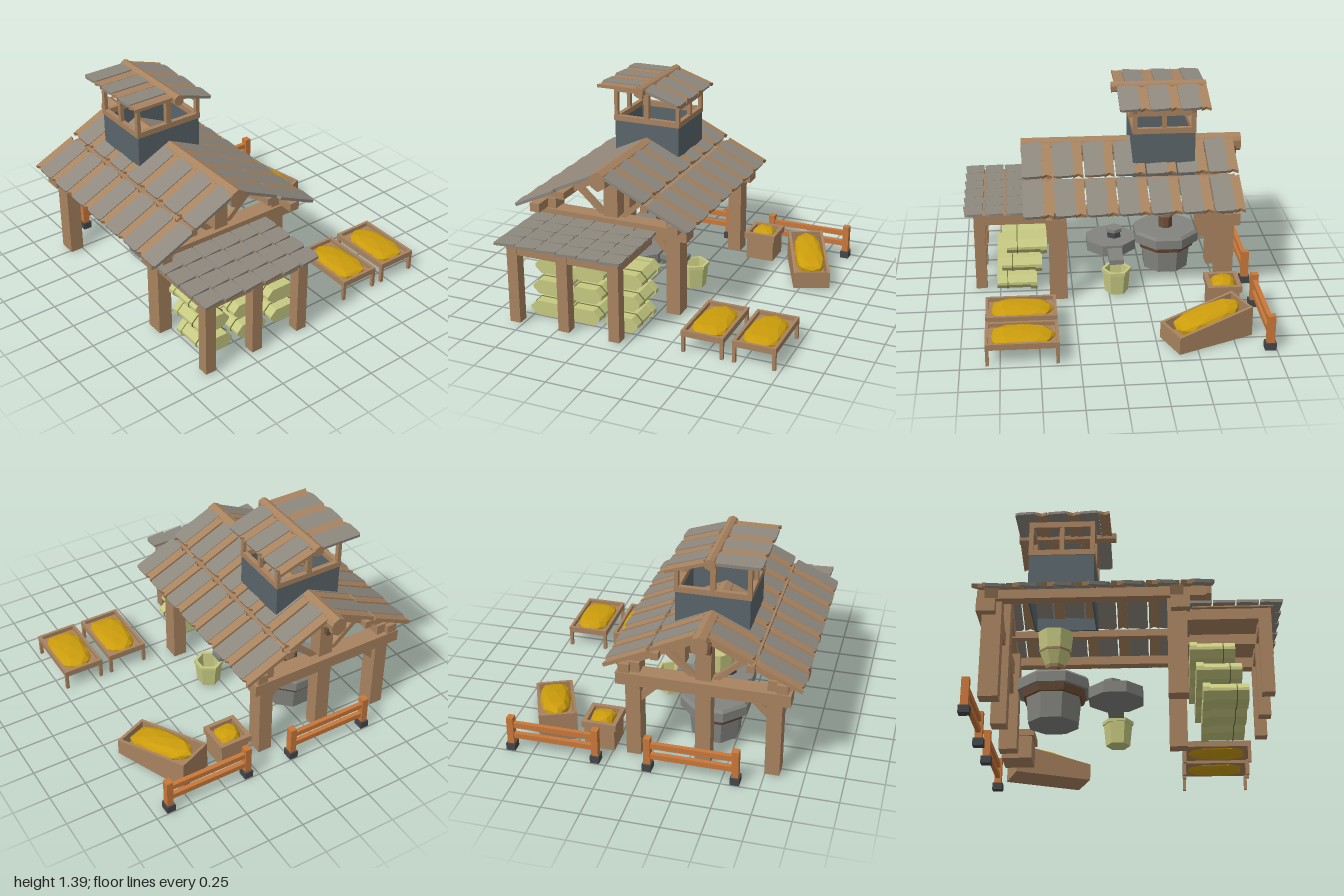
import * as THREE from 'three';

const mat = (name, color) => {
  const m = new THREE.MeshStandardMaterial({ color, flatShading: true });
  m.name = name;
  return m;
};

export function createModel() {
  const wood = mat('wood', 0xa8835f), slate = mat('slate', 0x8e887e), stone = mat('stone', 0x83837f),
    darkPanel = mat('dark panel', 0x5a656a), sackCloth = mat('sack cloth', 0xc6c981), grain = mat('grain', 0xcb9c0c),
    orange = mat('fence wood', 0xc9783a), iron = mat('iron', 0x45464a), darkWood = mat('dark wood', 0x6f5039),
    seam = mat('sack seam', 0x73763f);
  const root = new THREE.Group();
  const group = (name, parent, x = 0, y = 0, z = 0) => {
    const g = new THREE.Group();
    g.name = name; g.position.set(x, y, z); parent.add(g);
    return g;
  };
  const add = (parent, name, geo, m, x = 0, y = 0, z = 0) => {
    const o = new THREE.Mesh(geo, m);
    o.name = name; o.position.set(x, y, z); parent.add(o);
    return o;
  };
  // box given by its limits on each axis
  const box = (p, name, m, x0, x1, y0, y1, z0, z1) => add(p, name,
    new THREE.BoxGeometry(x1 - x0, y1 - y0, z1 - z0), m, (x0 + x1) / 2, (y0 + y1) / 2, (z0 + z1) / 2);
  // sloping beam in the xy plane
  const beam = (p, name, m, a, b, h, z, d) => {
    const dx = b[0] - a[0], dy = b[1] - a[1];
    const o = add(p, name, new THREE.BoxGeometry(Math.hypot(dx, dy), h, d), m, (a[0] + b[0]) / 2, (a[1] + b[1]) / 2, z);
    o.rotation.z = Math.atan2(dy, dx);
  };
  // prism along z from an xy outline
  const prism = (pts, depth) => new THREE.ExtrudeGeometry(
    new THREE.Shape(pts.map(q => new THREE.Vector2(q[0], q[1]))), { depth, bevelEnabled: false });
  // roof plate from a to b: tiles have clipped corners, battens notched ends
  const plate = (p, name, m, a, b, z, w, t, notched, tilt = 0) => {
    if (a[0] > b[0]) [a, b] = [b, a];
    const L = Math.hypot(b[0] - a[0], b[1] - a[1]), h = w / 2, c = 0.018;
    const pts = notched
      ? [[0, -h], [L, -h], [L - c, 0], [L, h], [0, h], [c, 0]]
      : [[c * 0.6, -h], [L - c * 0.6, -h], [L, -h + c], [L, h - c], [L - c * 0.6, h], [c * 0.6, h], [0, h - c], [0, -h + c]];
    const geo = prism(pts, t).rotateX(Math.PI / 2).rotateX(tilt);
    const o = add(p, name, geo, m, a[0], a[1], z);
    o.rotation.z = Math.atan2(b[1] - a[1], b[0] - a[0]);
  };
  const ngon = (r0, r1, h, n) => new THREE.CylinderGeometry(r0, r1, h, n).rotateY(Math.PI / n);
  // lumpy squared-off grain heap
  const heap = (p, w, h, d, x, y, z) => {
    const geo = new THREE.IcosahedronGeometry(1, 1), q = geo.attributes.position;
    const sq = v => Math.sign(v) * Math.pow(Math.abs(v), 0.7);
    for (let i = 0; i < q.count; i++) {
      const X = q.getX(i), Y = q.getY(i), Z = q.getZ(i);
      const k = 0.97 + 0.05 * Math.sin(X * 7 + Z * 5);
      q.setXYZ(i, sq(X) * w / 2 * k, Y * h * k, sq(Z) * d / 2 * k);
    }
    geo.computeVertexNormals();
    return add(p, 'grainHeap', geo, grain, x, y, z);
  };

  // ---- Main barn, mirrored about its ridge ----
  const barn = group('barn', root, -0.345);
  for (const z of [0.35, -0.78]) {
    const zt = z > 0 ? 0.37 : -0.812;
    box(barn, 'tieBeam', wood, -0.555, 0.555, 0.547, 0.63, zt - 0.058, zt + 0.058);
    box(barn, 'kingPost', wood, -0.05, 0.05, z > 0 ? 0.6 : 0.01, 0.9, z - 0.05, z + 0.05);
    for (const s of [-1, 1]) {
      box(barn, 'post', wood, s * 0.452 - 0.048, s * 0.452 + 0.048, 0.01, 0.7, z - 0.06, z + 0.06);
      beam(barn, 'rafter', wood, [s * 0.56, 0.66], [s * 0.02, 0.93], 0.065, z, 0.08);
      beam(barn, 'gableStrut', wood, [s * 0.05, 0.61], [s * 0.26, 0.8], 0.035, z, 0.04);
      beam(barn, 'kneeBrace', wood, [s * 0.42, 0.42], [s * 0.28, 0.56], 0.045, z, 0.05);
    }
  }
  for (const s of [-1, 1]) {
    box(barn, 'eavesBeam', wood, s * 0.5 - 0.035, s * 0.5 + 0.035, 0.635, 0.695, -0.87, 0.53);
    box(barn, 'purlin', wood, s * 0.3 - 0.025, s * 0.3 + 0.025, 0.755, 0.805, -0.87, 0.53);
  }
  const ridgeOutline = [[-0.05, 0.9], [0, 0.87], [0.05, 0.9], [0.055, 0.96], [0.04, 0.985], [0, 1.005], [-0.04, 0.985], [-0.055, 0.96]];
  add(barn, 'ridgeBeam', prism(ridgeOutline, 1.53), wood, 0, 0, -0.95);
  box(barn, 'ridgeCap', darkWood, -0.065, 0.065, 0.87, 0.92, -0.915, -0.885);

  // two rows of tiles and battens on each slope
  for (const s of [-1, 1]) for (let i = 0; i < 7; i++) {
    const z = -0.757 + i * 0.211;
    for (const [a, b] of [[[0.035, 0.985], [0.325, 0.847]], [[0.34, 0.828], [0.632, 0.692]]]) {
      const A = [s * a[0], a[1]], B = [s * b[0], b[1]];
      plate(barn, 'roofTile', slate, A, B, z, 0.138, 0.02, false, 0.06);
      plate(barn, 'roofBatten', wood, A, B, z - 0.098, 0.068, 0.025, true);
    }
  }

  // ---- Lookout on the ridge ----
  const cupola = group('lookout', barn, 0, 0, -0.388);
  for (const s of [-1, 1]) {
    box(cupola, 'endPanel', darkPanel, -0.238, 0.238, 0.78, 1.105, s * 0.205 - 0.007, s * 0.205 + 0.007);
    box(cupola, 'sidePanel', darkPanel, s * 0.231 - 0.007, s * 0.231 + 0.007, 0.78, 1.105, -0.212, 0.212);
    box(cupola, 'endRail', wood, -0.245, 0.245, 1.1, 1.138, s * 0.2 - 0.016, s * 0.2 + 0.016);
    box(cupola, 'sideRail', wood, s * 0.228 - 0.016, s * 0.228 + 0.016, 1.1, 1.138, -0.21, 0.21);
    const top = s < 0 ? 1.345 : 1.265;
    for (const z of [-0.2, 0, 0.2])
      box(cupola, 'lookoutPost', wood, s * 0.23 - 0.013, s * 0.23 + 0.013, 1.13, top, z - 0.015, z + 0.015);
    box(cupola, 'headRail', wood, s * 0.23 - 0.014, s * 0.23 + 0.014, top - 0.04, top, -0.21, 0.21);
    box(cupola, 'centrePost', wood, -0.018, 0.018, 1.13, 1.34, s * 0.2 - 0.015, s * 0.2 + 0.015);
    beam(cupola, 'flatRafter', wood, [-0.24, 1.328], [0, 1.328], 0.04, s * 0.2, 0.03);
    beam(cupola, 'slopingRafter', wood, [0, 1.335], [0.25, 1.262], 0.04, s * 0.2, 0.03);
  }
  add(cupola, 'lookoutRidge', prism(ridgeOutline.map(([x, y]) => [x * 0.62, 1.395 + (y - 1.005) * 0.56]), 0.65), wood, 0, 0, -0.308);
  for (let i = 0; i < 3; i++) {
    const z = -0.18 + i * 0.205;
    plate(cupola, 'lookoutTile', slate, [-0.32, 1.378], [-0.025, 1.378], z - 0.055, 0.135, 0.018, false, -0.06);
    plate(cupola, 'lookoutBatten', wood, [-0.32, 1.376], [-0.025, 1.376], z + 0.05, 0.068, 0.022, true);
    plate(cupola, 'lookoutTile', slate, [0.03, 1.375], [0.285, 1.29], z + 0.005, 0.14, 0.018, false, 0.06);
    plate(cupola, 'lookoutBatten', wood, [0.03, 1.372], [0.285, 1.287], z - 0.095, 0.066, 0.022, true);
  }

  // ---- Lean-to over the sacks ----
  const leanTo = group('leanTo', root);
  for (const x of [-0.8, -0.442, -0.082]) {
    box(leanTo, 'leanToPost', wood, x - 0.038, x + 0.038, 0.01, 0.56, 0.84, 0.916);
    box(leanTo, 'leanToBeam', wood, x - 0.035, x + 0.035, 0.49, 0.562, 0.4, 0.85);
  }
  box(leanTo, 'leanToFrontBeam', wood, -0.838, -0.044, 0.492, 0.56, 0.845, 0.91);
  box(leanTo, 'leanToDeck', wood, -0.86, -0.03, 0.56, 0.568, 0.44, 0.93);
  for (let r = 0; r < 4; r++) for (let c = 0; c < 6; c++) {
    const x = -0.887 + c * 0.148, z = 0.492 + r * 0.142;
    const o = add(leanTo, 'leanToTile', prism([[0.004, -0.066], [0.142, -0.066], [0.148, 0.03], [0.138, 0.054], [0, 0.068], [0, -0.04]], 0.018)
      .rotateX(Math.PI / 2), slate, x, 0.593, z);
    o.rotation.x = 0.03;
  }

  // ---- Stacked sacks ----
  const sacks = group('sacks', root);
  const hex = (w, h, c) => [[-w, -h + c], [-w + c, -h], [w - c, -h], [w, -h + c], [w, h - c], [w - c, h], [-w + c, h], [-w, h - c]];
  for (let r = 0; r < 3; r++) for (let c = 0; c < 3; c++) {
    const s = group('sack', sacks, -0.645 + c * 0.272, 0.065 + r * 0.135, 0.495 - r * 0.037);
    add(s, 'sackBody', prism(hex(0.115, 0.051, 0.042), 0.235), sackCloth, 0, 0, 0.04);
    add(s, 'sackBack', prism(hex(0.125, 0.06, 0.046), 0.045), sackCloth);
    add(s, 'sackSeam', prism(hex(0.12, 0.055, 0.044), 0.006), seam, 0, 0, 0.2);
  }

  // ---- Mill ----
  const mill = group('mill', root, -0.345, 0, -0.437);
  add(mill, 'millBase', ngon(0.18, 0.165, 0.17, 8), stone, 0, 0.095, 0);
  add(mill, 'millBand', ngon(0.215, 0.2, 0.045, 8), darkWood, 0, 0.198, 0);
  add(mill, 'millStone', ngon(0.24, 0.24, 0.065, 8), stone, 0, 0.253, 0);
  add(mill, 'millStoneTop', ngon(0.222, 0.24, 0.02, 8), stone, 0, 0.295, 0);
  add(mill, 'millSpindle', ngon(0.05, 0.05, 0.1, 8), darkWood, 0, 0.35, 0);
  add(mill, 'hopperTop', ngon(0.118, 0.105, 0.135, 8), sackCloth, 0, 0.575, 0);
  add(mill, 'hopperCone', ngon(0.105, 0.055, 0.115, 8), sackCloth, 0, 0.45, 0);
  add(mill, 'hopperBand', ngon(0.109, 0.107, 0.012, 8), wood, 0, 0.507, 0);
  add(mill, 'hopperCollar', ngon(0.066, 0.06, 0.022, 8), wood, 0, 0.403, 0);
  // small wheel beside the mill
  add(mill, 'sideWheel', ngon(0.185, 0.185, 0.075, 8), stone, 0, 0.2, 0.395);
  add(mill, 'sideWheelHub', ngon(0.045, 0.055, 0.08, 6), iron, 0, 0.265, 0.37);
  add(mill, 'sideWheelCap', ngon(0.06, 0.06, 0.025, 6), stone, 0, 0.293, 0.37);
  box(mill, 'chute', stone, 0.1, 0.36, 0.185, 0.22, 0.33, 0.43);

  // flour bucket
  const bucket = group('bucket', root, 0.07, 0, -0.05);
  const wall = [[0, 0.02], [0.08, 0.02], [0.094, 0.165], [0.103, 0.165], [0.103, 0.19], [0.08, 0.19], [0.07, 0.05], [0, 0.05]];
  add(bucket, 'bucketBody', new THREE.LatheGeometry(wall.map(p => new THREE.Vector2(...p)), 6), sackCloth);

  // ---- Two drying tables ----
  for (const x of [0.487, 0.828]) {
    const t = group('dryingTable', root, x, 0, 0.61);
    box(t, 'tableBoard', wood, -0.14, 0.14, 0.11, 0.122, -0.23, 0.23);
    for (const s of [-1, 1]) {
      box(t, 'tableSide', wood, s * 0.132 - 0.01, s * 0.132 + 0.01, 0.11, 0.15, -0.232, 0.232);
      box(t, 'tableEnd', wood, -0.13, 0.13, 0.11, 0.15, s * 0.222 - 0.01, s * 0.222 + 0.01);
      for (const q of [-1, 1])
        box(t, 'tableLeg', wood, s * 0.13 - 0.011, s * 0.13 + 0.011, 0, 0.12, q * 0.22 - 0.011, q * 0.22 + 0.011);
    }
    heap(t, 0.25, 0.045, 0.42, 0, 0.125, 0);
  }

  // ---- Square grain crate ----
  const crate = group('crate', root, 0.337, 0, -0.742);
  box(crate, 'crateBody', wood, -0.1, 0.1, 0.01, 0.17, -0.1, 0.1);
  for (const s of [-1, 1]) {
    box(crate, 'crateRimSide', wood, s * 0.1 - 0.014, s * 0.1 + 0.014, 0.165, 0.21, -0.114, 0.114);
    box(crate, 'crateRimEnd', wood, -0.09, 0.09, 0.165, 0.21, s * 0.1 - 0.014, s * 0.1 + 0.014);
  }
  heap(crate, 0.17, 0.06, 0.17, 0, 0.175, 0);

  // ---- Slanted grain trough ----
  const trough = group('trough', root, 0.728, 0, -0.575);
  trough.rotation.y = 0.4;
  const sideOutline = [[-0.27, 0.01], [0.27, 0.01], [0.27, 0.215], [-0.27, 0.125]];
  for (const s of [-1, 1]) {
    add(trough, 'troughSide', prism(sideOutline, 0.02).rotateY(Math.PI / 2), wood, s * 0.115 - 0.01);
    const top = s > 0 ? 0.128 : 0.212;
    box(trough, 'troughEnd', wood, -0.11, 0.11, 0.01, top, s * 0.26 - 0.01, s * 0.26 + 0.01);
  }
  box(trough, 'troughFloor', wood, -0.11, 0.11, 0.01, 0.05, -0.255, 0.255);
  heap(trough, 0.21, 0.055, 0.49, 0, 0.155, 0).rotation.x = 0.165;

  // ---- Two back fences ----
  for (const x of [-0.305, 0.61]) {
    const f = group('fence', root, x, 0, -0.96);
    for (const s of [-1, 1]) {
      box(f, 'fencePost', orange, s * 0.285 - 0.022, s * 0.285 + 0.022, 0.045, 0.24, -0.025, 0.025);
      box(f, 'fenceFoot', iron, s * 0.285 - 0.03, s * 0.285 + 0.03, 0, 0.05, -0.036, 0.036);
    }
    for (const y of [0.105, 0.185]) box(f, 'fenceRail', orange, -0.305, 0.305, y - 0.018, y + 0.018, -0.015, 0.015);
  }
  return root;
}
